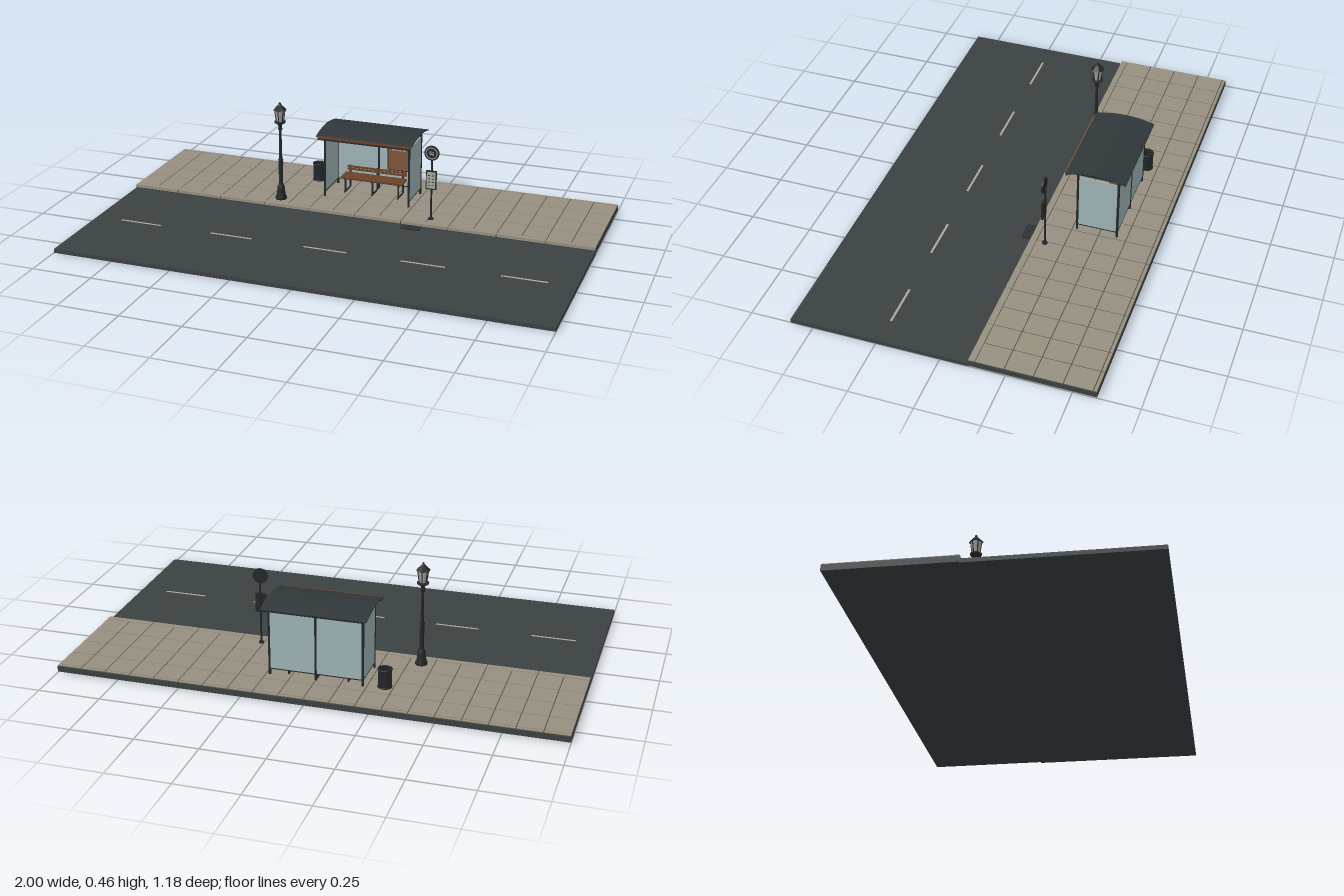
import * as THREE from 'three';

const mat = (name, color, side = THREE.FrontSide) => {
  const m = new THREE.MeshStandardMaterial({ color, side });
  m.name = name;
  return m;
};

export function createModel() {
  const asphalt = mat('asphalt', 0x3b4142);
  const paving = mat('paving stone', 0x979081);
  const joint = mat('paving joint', 0x57534a);
  const metal = mat('dark metal', 0x25292b, THREE.DoubleSide);
  const roofing = mat('roof sheet', 0x30373a, THREE.DoubleSide);
  const glass = mat('glass', 0xa0b6b8);
  const wood = mat('wood', 0x6e4329);
  const poster = mat('poster brown', 0x83573a);
  const pale = mat('pale panel', 0xaaa79c);

  const root = new THREE.Group();
  root.name = 'busStop';
  const group = (name, x = 0, y = 0, z = 0) => {
    const g = new THREE.Group();
    g.name = name;
    g.position.set(x, y, z);
    root.add(g);
    return g;
  };
  const add = (parent, name, geo, material, x = 0, y = 0, z = 0) => {
    const m = new THREE.Mesh(geo, material);
    m.name = name;
    m.position.set(x, y, z);
    parent.add(m);
    return m;
  };
  const box = (parent, name, material, w, h, d, x, y, z) =>
    add(parent, name, new THREE.BoxGeometry(w, h, d), material, x, y, z);
  const rod = (parent, name, material, r, h, x, y, z) =>
    add(parent, name, new THREE.CylinderGeometry(r, r, h, 12), material, x, y, z);

  // Road with dashed centre line and a drain by the kerb
  const road = group('road');
  box(road, 'roadSlab', asphalt, 2, 0.016, 0.7, 0, 0.008, 0.24);
  for (let i = -2; i <= 2; i++)
    box(road, 'laneDash', pale, 0.18, 0.001, 0.009, i * 0.4, 0.0165, 0.235);
  box(road, 'drainFrame', metal, 0.08, 0.003, 0.042, 0.25, 0.0165, -0.088);
  for (let i = 0; i < 6; i++)
    box(road, 'drainBar', asphalt, 0.004, 0.001, 0.034, 0.22 + i * 0.012, 0.0185, -0.088);

  // Pavement: dark base, joint layer, square tiles and kerb stones
  const pavement = group('pavement');
  box(pavement, 'pavementBase', asphalt, 2, 0.022, 0.48, 0, 0.015, -0.35);
  box(pavement, 'jointBed', joint, 1.998, 0.003, 0.478, 0, 0.0275, -0.35);
  const rows = [-0.59, -0.575, -0.465, -0.355, -0.245, -0.134];
  for (let r = 0; r < rows.length - 1; r++) {
    const depth = rows[r + 1] - rows[r];
    for (let c = 0; c < 20; c++)
      box(pavement, 'tile', paving, 0.096, 0.004, depth - 0.004,
        -0.95 + c * 0.1, 0.029, rows[r] + depth / 2);
  }
  for (let c = 0; c < 10; c++)
    box(pavement, 'kerbStone', paving, 0.197, 0.012, 0.024, -0.9 + c * 0.2, 0.0255, -0.121);

  const ground = 0.031;

  // Shelter posts, rails and glazing
  const shelter = group('shelter');
  const frontZ = -0.262, backZ = -0.425, side = 0.185;
  for (const x of [-side, 0, side]) {
    box(shelter, 'backPost', metal, 0.008, 0.272, 0.008, x, ground + 0.136, backZ);
    box(shelter, 'roofBeam', metal, 0.008, 0.009, 0.215, x, 0.306, -0.323);
  }
  for (const s of [-1, 1]) {
    box(shelter, 'frontPost', metal, 0.007, 0.272, 0.007, s * side, ground + 0.136, frontZ);
    box(shelter, 'sideGlass', glass, 0.004, 0.233, 0.152, s * side, 0.172, -0.344);
    box(shelter, 'backGlass', glass, 0.177, 0.235, 0.004, s * side / 2, 0.173, backZ);
    box(shelter, 'sideRail', metal, 0.005, 0.004, 0.16, s * side, 0.056, -0.344);
    box(shelter, 'backRail', metal, 0.18, 0.004, 0.005, s * side / 2, 0.056, backZ);
  }
  box(shelter, 'backBeam', metal, 0.38, 0.012, 0.008, 0, 0.296, backZ);
  box(shelter, 'frontBeam', metal, 0.4, 0.007, 0.008, 0, 0.301, -0.219);
  box(shelter, 'frontFascia', wood, 0.4, 0.009, 0.004, 0, 0.309, -0.216);

  // Curved roof: thin arc section pulled across the width
  const top = [], under = [];
  for (let i = 0; i <= 20; i++) {
    const t = i / 20;
    const y = 0.312 + 0.0175 * 4 * t * (1 - t);
    top.push(new THREE.Vector2(0.217 + t * 0.24, y));
    under.unshift(new THREE.Vector2(0.217 + t * 0.24, y - 0.004));
  }
  const roofGeo = new THREE.ExtrudeGeometry(new THREE.Shape([...top, ...under]),
    { depth: 0.416, bevelEnabled: false });
  roofGeo.rotateY(Math.PI / 2);
  add(shelter, 'curvedRoof', roofGeo, roofing, -0.208);

  // Poster on the back glass
  box(shelter, 'posterFrame', metal, 0.1, 0.128, 0.004, 0.09, 0.188, backZ + 0.004);
  box(shelter, 'posterSheet', poster, 0.092, 0.12, 0.003, 0.09, 0.188, backZ + 0.006);
  for (const [w, x] of [[0.022, 0.07], [0.016, 0.092], [0.016, 0.112]])
    box(shelter, 'posterStripe', pale, w, 0.005, 0.001, x, 0.217, backZ + 0.008);

  // Bench with slatted seat and back
  const bench = group('bench');
  for (let i = 0; i < 4; i++)
    box(bench, 'seatSlat', wood, 0.275, 0.007, 0.014, 0, 0.1, -0.33 - i * 0.018);
  for (const y of [0.115, 0.126])
    box(bench, 'backSlat', wood, 0.265, 0.008, 0.005, 0, y, -0.398);
  for (const x of [-0.122, 0, 0.115]) {
    box(bench, 'benchFoot', metal, 0.006, 0.004, 0.066, x, ground + 0.002, -0.362);
    box(bench, 'benchBearer', metal, 0.006, 0.005, 0.074, x, 0.094, -0.361);
    box(bench, 'frontLeg', metal, 0.006, 0.064, 0.006, x, 0.063, -0.34);
    box(bench, 'backLeg', metal, 0.006, 0.1, 0.006, x, 0.081, -0.404);
  }

  // Open litter bin with ribs and rim
  const bin = group('litterBin', -0.27, ground, -0.42);
  add(bin, 'binWall', new THREE.CylinderGeometry(0.025, 0.023, 0.072, 24, 1, true), metal, 0, 0.045, 0);
  for (let i = 0; i < 16; i++) {
    const a = i / 16 * Math.PI * 2;
    rod(bin, 'binRib', metal, 0.002, 0.076, Math.cos(a) * 0.025, 0.046, Math.sin(a) * 0.025);
  }
  add(bin, 'binFloor', new THREE.CylinderGeometry(0.024, 0.024, 0.003, 24), paving, 0, 0.01, 0);
  for (const y of [0.01, 0.082])
    add(bin, 'binRim', new THREE.TorusGeometry(0.026, 0.003, 8, 32), metal, 0, y, 0).rotation.x = Math.PI / 2;

  // Street lamp: turned column and hexagonal lantern
  const lamp = group('streetLamp', -0.35, 0, -0.175);
  const profile = [[0, 0.03], [0.024, 0.03], [0.024, 0.04], [0.02, 0.045], [0.015, 0.078],
    [0.017, 0.082], [0.012, 0.09], [0.009, 0.1], [0.009, 0.2], [0.011, 0.204], [0.007, 0.212],
    [0.0055, 0.335], [0.01, 0.34], [0.007, 0.348], [0.008, 0.36], [0.022, 0.368],
    [0.024, 0.374], [0, 0.376]];
  add(lamp, 'lampColumn', new THREE.LatheGeometry(
    profile.map(([r, y]) => new THREE.Vector2(r, y)), 16), metal);
  add(lamp, 'lanternGlass', new THREE.CylinderGeometry(0.022, 0.015, 0.048, 6), pale, 0, 0.4, 0);
  for (let i = 0; i < 6; i++) {
    const a = i / 6 * Math.PI * 2;
    const path = new THREE.LineCurve3(
      new THREE.Vector3(Math.sin(a) * 0.015, 0.375, Math.cos(a) * 0.015),
      new THREE.Vector3(Math.sin(a) * 0.022, 0.426, Math.cos(a) * 0.022));
    add(lamp, 'lanternBar', new THREE.TubeGeometry(path, 1, 0.0022, 6), metal);
  }
  const cap = new THREE.CylinderGeometry(0.009, 0.029, 0.02, 6).toNonIndexed();
  cap.computeVertexNormals();
  add(lamp, 'lanternCap', cap, metal, 0, 0.434, 0);
  add(lamp, 'capTop', new THREE.CylinderGeometry(0.004, 0.009, 0.007, 6), metal, 0, 0.4475, 0);
  add(lamp, 'finial', new THREE.SphereGeometry(0.0045, 10, 8), metal, 0, 0.4525, 0);

  // Stop sign pole, round sign and timetable
  const sign = group('stopSign', 0.31, 0, -0.17);
  rod(sign, 'signPole', metal, 0.004, 0.27, 0, 0.166, 0);
  rod(sign, 'signBase', metal, 0.011, 0.006, 0, ground + 0.003, 0);
  const disc = (name, material, r, h, z) =>
    add(sign, name, new THREE.CylinderGeometry(r, r, h, 32), material, 0, 0.319, z).rotation.x = Math.PI / 2;
  disc('signDisc', metal, 0.031, 0.006, 0.004);
  const ring = new THREE.RingGeometry(0.021, 0.025, 32);
  add(sign, 'signRing', ring, pale, 0, 0.319, 0.0075);
  box(sign, 'signSymbol', pale, 0.018, 0.014, 0.001, 0, 0.319, 0.0075);
  box(sign, 'signSymbolWindow', metal, 0.014, 0.005, 0.001, 0, 0.321, 0.008);
  box(sign, 'timetableFrame', metal, 0.044, 0.08, 0.007, 0, 0.204, 0.005);
  box(sign, 'timetableSheet', pale, 0.036, 0.07, 0.001, 0, 0.204, 0.009);
  for (let i = 0; i < 4; i++)
    for (const s of [-1, 1])
      box(sign, 'timetableRow', metal, 0.008, 0.003, 0.001, s * 0.008, 0.182 + i * 0.014, 0.0096);

  return root;
}
